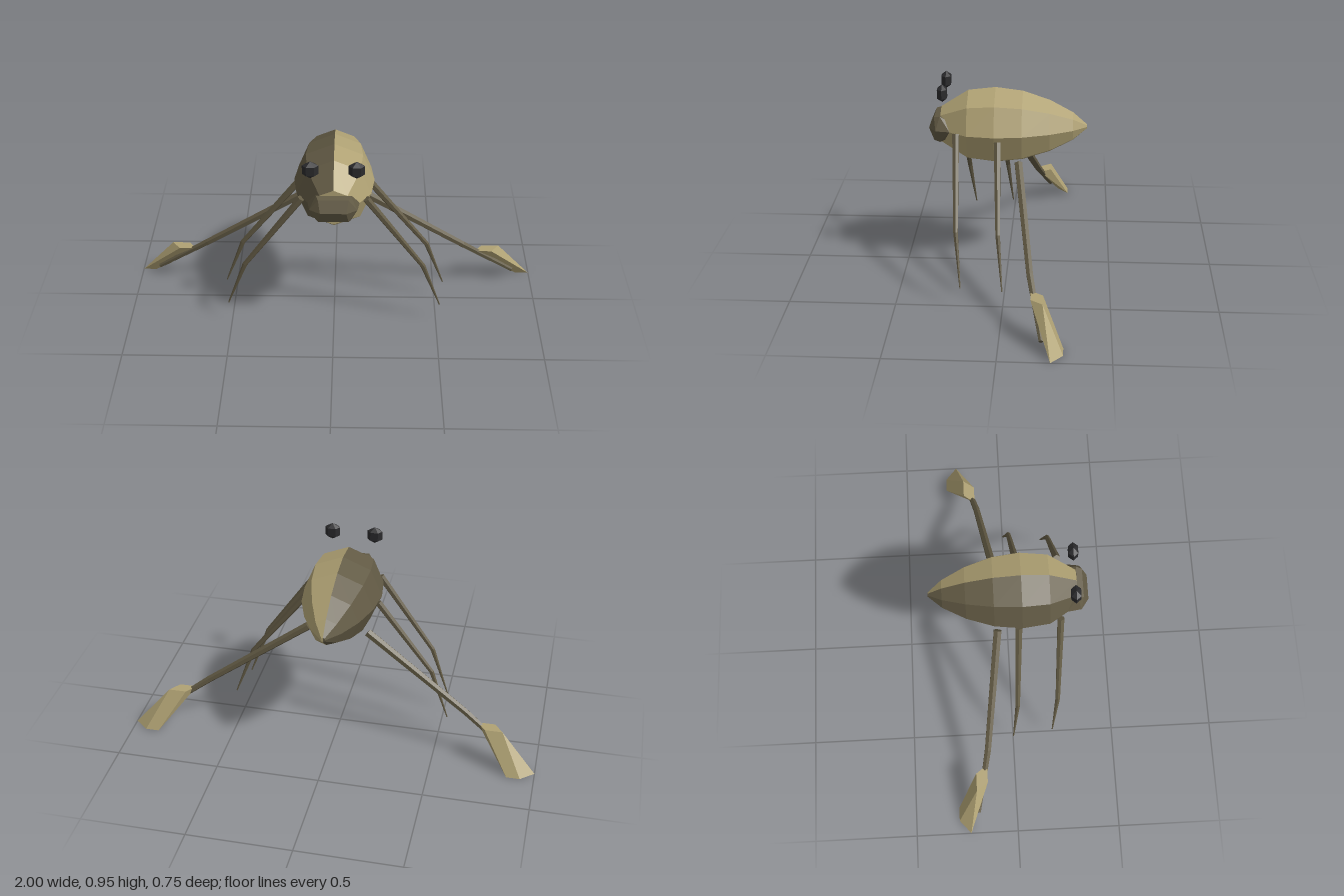
import * as THREE from 'three';
import { ConvexGeometry } from 'three/addons/geometries/ConvexGeometry.js';

const material = (name, color) => {
  const m = new THREE.MeshStandardMaterial({ color, flatShading: true });
  m.name = name;
  return m;
};

// Faceted solid around a few corner points
const hull = (points) => new ConvexGeometry(points.map((p) => new THREE.Vector3(...p)));

// Tapered, bent limb: one ring of corners per joint, closed at both ends
function limbGeometry(joints, radii, sides = 6) {
  const pts = joints.map((p) => new THREE.Vector3(...p));
  const dir = pts[pts.length - 1].clone().sub(pts[0]).normalize();
  const u = new THREE.Vector3(0, 0, 1).cross(dir).normalize();
  const v = dir.clone().cross(u);
  const pos = [], index = [];
  const ring = (p, r) => {
    for (let i = 0; i < sides; i++) {
      const a = (i / sides) * Math.PI * 2;
      pos.push(...p.clone().addScaledVector(u, r * Math.cos(a)).addScaledVector(v, r * Math.sin(a)).toArray());
    }
  };
  pts.forEach((p, k) => ring(p, radii[k]));
  for (let k = 0; k < pts.length - 1; k++) {
    for (let i = 0; i < sides; i++) {
      const a = k * sides + i, b = k * sides + ((i + 1) % sides);
      index.push(a, b, b + sides, a, b + sides, a + sides);
    }
  }
  const last = (pts.length - 1) * sides;
  for (let i = 1; i < sides - 1; i++) {
    index.push(0, i + 1, i, last, last + i, last + i + 1);
  }
  const g = new THREE.BufferGeometry();
  g.setAttribute('position', new THREE.Float32BufferAttribute(pos, 3));
  g.setIndex(index);
  g.computeVertexNormals();
  return g;
}

export function createModel() {
  const group = new THREE.Group();
  const tan = material('tan shell', 0xb0a274);
  const brown = material('dark brown', 0x625a44);
  const black = material('eye black', 0x2a2a2c);

  const add = (name, geometry, mat, x = 0, y = 0, z = 0) => {
    const mesh = new THREE.Mesh(geometry, mat);
    mesh.name = name;
    mesh.position.set(x, y, z);
    group.add(mesh);
  };

  // Body outline from tail to neck, as radius and z
  const profile = [
    [0, -0.376], [0.011, -0.376], [0.07, -0.31], [0.13, -0.2], [0.174, -0.07],
    [0.19, 0.06], [0.174, 0.19], [0.09, 0.32],
  ].map(([r, h]) => new THREE.Vector2(r, h));
  add('neckCap', new THREE.CircleGeometry(0.09, 8), tan, 0, 0.718, 0.32);

  // Wide, blunt head with a horizontal front edge
  const headCorners = [];
  for (const s of [1, -1]) {
    headCorners.push([s * 0.06, 0, 0.375], [s * 0.11, 0, 0.34], [s * 0.12, 0, 0.272]);
    for (const t of [1, -1]) {
      headCorners.push([s * 0.07, t * 0.057, 0.35], [s * 0.08, t * 0.064, 0.322], [s * 0.085, t * 0.043, 0.28]);
    }
  }
  add('head', hull(headCorners), brown, 0, 0.718, 0);

  for (const s of [1, -1]) {
    const side = s > 0 ? 'left' : 'right';
    const mirror = (list) => list.map(([x, y, z]) => [s * x, y, z]);

    // Half of the eight-sided body: one half tan, the other dark
    const half = new THREE.LatheGeometry(profile, 4, s > 0 ? 0 : Math.PI, Math.PI);
    add(side + 'BodyHalf', half.rotateX(Math.PI / 2), s > 0 ? tan : brown, 0, 0.718, 0);

    // Eyes floating above the head
    const eye = new THREE.SphereGeometry(1, 6, 3).scale(0.043, 0.043, 0.03);
    add(side + 'Eye', eye, black, s * 0.105, 0.908, 0.305);

    // Slender front and middle legs
    add(side + 'FrontLeg',
      limbGeometry(mirror([[0.15, 0.72, 0.24], [0.425, 0.34, 0.221], [0.515, 0.098, 0.196]]), [0.018, 0.012, 0.003]), brown);
    add(side + 'MiddleLeg',
      limbGeometry(mirror([[0.175, 0.69, 0.043], [0.45, 0.34, 0.025], [0.54, 0.098, 0.001]]), [0.018, 0.012, 0.003]), brown);

    // Long hind leg
    add(side + 'HindLeg',
      limbGeometry(mirror([[0.145, 0.577, -0.056], [0.64, 0.24, -0.13], [0.905, 0.05, -0.19]]), [0.021, 0.017, 0.011]), brown);

    // Slanted, twisted swimming paddle on the hind leg
    add(side + 'Paddle', hull(mirror([
      [0.705, 0.192, -0.138], [0.79, 0.192, -0.138], [0.83, 0.192, -0.193], [0.745, 0.192, -0.193],
      [0.935, 0, -0.232], [1, 0, -0.232], [0.935, 0, -0.287], [0.87, 0, -0.287],
    ])), tan);
  }
  return group;
}
